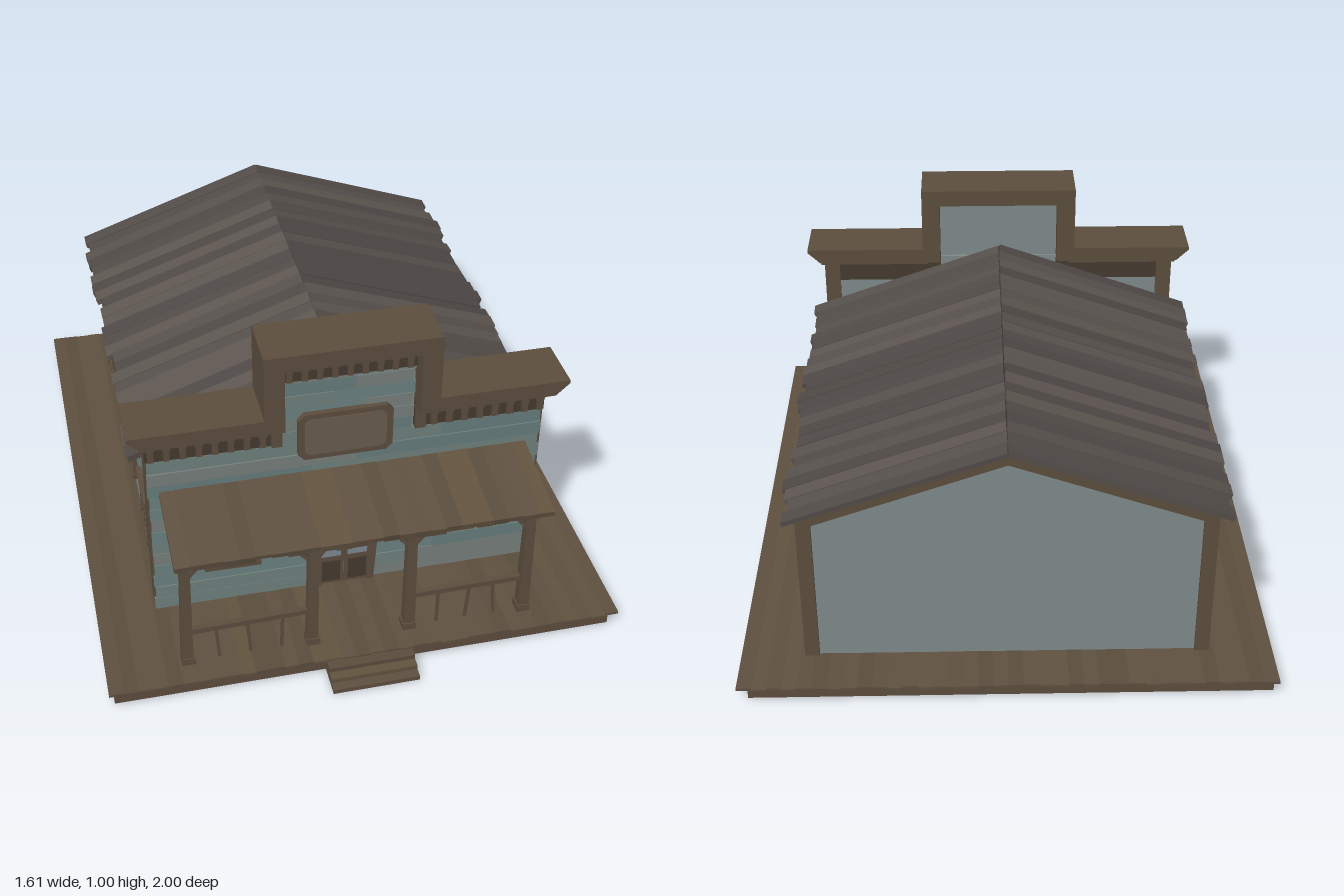
import * as THREE from 'three';

const mats = {};
const mat = (c) => (mats[c] ??= new THREE.MeshStandardMaterial({ color: c, flatShading: true, roughness: 0.9 }));
const TRIM = 0x5c4e3e, DARK = 0x453a2f, PLAIN = 0x7f8b8a, GLASS = 0x7f8a92;
const DECK = [0x5e5040, 0x62533f, 0x5a4d3d, 0x605140];
const WALL = [0x6c8282, 0x677d7d, 0x70837f, 0x77807c];
const ROOF = [0x57514d, 0x524c48, 0x5d5651, 0x4f4946];

let seed = 7;
const rnd = () => (seed = (seed * 16807) % 2147483647) / 2147483647;
const jit = (a) => (rnd() * 2 - 1) * a;
const pick = (list) => list[Math.floor(rnd() * list.length)];

function add(parent, geo, color, name) {
  const m = new THREE.Mesh(geo, mat(color));
  m.name = name;
  parent.add(m);
  return m;
}
// box given by its limits on each axis
function box(parent, name, color, x0, x1, y0, y1, z0, z1) {
  const m = add(parent, new THREE.BoxGeometry(x1 - x0, y1 - y0, z1 - z0), color, name);
  m.position.set((x0 + x1) / 2, (y0 + y1) / 2, (z0 + z1) / 2);
  return m;
}
function extrude(parent, name, color, pts, depth, z) {
  const shape = new THREE.Shape(pts.map((p) => new THREE.Vector2(p[0], p[1])));
  const m = add(parent, new THREE.ExtrudeGeometry(shape, { depth, bevelEnabled: false }), color, name);
  m.position.z = z;
  return m;
}
// square bar between two points
function bar(parent, name, color, a, b, w) {
  const p = new THREE.Vector3(...a), q = new THREE.Vector3(...b);
  const m = add(parent, new THREE.BoxGeometry(w, w, p.distanceTo(q)), color, name);
  m.position.copy(p).add(q).multiplyScalar(0.5);
  m.lookAt(q);
  return m;
}
function group(parent, name) {
  const g = new THREE.Group();
  g.name = name;
  parent.add(g);
  return g;
}
// uneven horizontal boards on a facade, facing local +z
function siding(parent, x0, x1, y0, y1, z, n) {
  const h = (y1 - y0) / n;
  for (let i = 0; i < n; i++) {
    const y = y0 + i * h, split = x0 + (x1 - x0) * (0.25 + 0.5 * rnd());
    for (const [a, b] of [[x0 + jit(0.005), split], [split, x1 + jit(0.005)]]) {
      box(parent, 'sidingBoard', pick(WALL), a, b, y, y + h - 0.001, z - 0.015, z + rnd() * 0.005);
    }
  }
}
// flat framed window with panes
function windowUnit(parent, x, y0, y1, w, z, panes) {
  const g = group(parent, 'window'), l = x - w / 2, r = x + w / 2, t = 0.016;
  box(g, 'glass', GLASS, l, r, y0, y1, z - 0.01, z + 0.006);
  for (let i = 0; i <= panes; i++) {
    const px = l + (w * i) / panes, hw = i % panes ? 0.004 : t / 2;
    box(g, 'upright', TRIM, px - hw, px + hw, y0, y1, z - 0.005, z + 0.01).rotation.z = jit(0.02);
  }
  box(g, 'sill', TRIM, l - 0.015, r + 0.015, y0 - t, y0 + 0.002, z - 0.005, z + 0.014).rotation.z = jit(0.02);
  box(g, 'head', TRIM, l - 0.016, r + 0.016, y1 - t / 2, y1 + t, z - 0.005, z + 0.012);
  box(g, 'lintelCap', TRIM, l - 0.026, r + 0.026, y1 + t, y1 + t + 0.007, z - 0.005, z + 0.016);
}
// row of tapering brackets under a cornice
function corbels(parent, x0, x1, yTop, n, h) {
  const w = 0.62 * (x1 - x0) / n;
  for (let i = 0; i < n; i++) {
    const c = x0 + ((i + 0.5) / n) * (x1 - x0), u = w / 2, v = w * 0.3;
    extrude(parent, 'corbel', TRIM, [[c - v, yTop - h], [c + v, yTop - h], [c + v, yTop - h * 0.55], [c + u, yTop - h * 0.4], [c + u, yTop], [c - u, yTop], [c - u, yTop - h * 0.4], [c - v, yTop - h * 0.55]], 0.022, 0.566);
  }
}

export function createModel() {
  const root = new THREE.Group();
  root.name = 'frontierBuilding';

  // deck: open rim with boards on top, and steps
  const deck = group(root, 'deck');
  box(deck, 'deckRimFront', TRIM, -0.79, 0.772, 0.008, 0.044, 0.885, 0.902);
  box(deck, 'deckRimBack', TRIM, -0.79, 0.772, 0.008, 0.044, -0.985, -0.968);
  box(deck, 'deckRimRight', TRIM, -0.79, -0.773, 0.008, 0.044, -0.985, 0.902);
  box(deck, 'deckRimLeft', TRIM, 0.755, 0.772, 0.008, 0.044, -0.985, 0.902);
  const nDeck = 36, dw = 1.61 / nDeck;
  for (let i = 0; i < nDeck; i++) {
    const x = -0.805 + i * dw;
    box(deck, 'deckBoard', pick(DECK), x, x + dw, 0.042, 0.05 + rnd() * 0.001, -0.999 + rnd() * 0.007, 0.905 + rnd() * 0.007);
  }
  for (let i = 0; i < 3; i++) {
    box(deck, 'step', DECK[i], -0.14, 0.13, i * 0.015, 0.015 * (i + 1), 0.88, 1 - i * 0.03);
  }

  // main body with gable
  const body = group(root, 'body');
  extrude(body, 'walls', PLAIN, [[-0.59, 0.045], [0.595, 0.045], [0.595, 0.55], [0, 0.765], [-0.59, 0.55]], 1.33, -0.84);
  for (const s of [-1, 1]) {
    const x = s * 0.59;
    box(body, 'cornerPost', TRIM, x - 0.022, x + 0.022, 0.045, 0.55, -0.85, -0.79);
    box(body, 'eaveBoard', TRIM, x - 0.015, x + 0.015, 0.525, 0.55, -0.84, 0.5);
  }

  // boarded side with three windows
  const side = group(body, 'boardedSide');
  side.rotation.y = -Math.PI / 2;
  siding(side, -0.79, 0.495, 0.05, 0.53, 0.595, 12);
  [[-0.6, 0.14, 2], [-0.16, 0.34, 4], [0.29, 0.14, 2]].forEach(([z, w, n]) => windowUnit(side, z, 0.15, 0.3, w, 0.6, n));

  // gable roof of uneven boards
  const roof = group(root, 'roof');
  for (const s of [-1, 1]) {
    const slope = group(roof, 'roofSlope');
    slope.position.y = 0.79;
    slope.rotation.z = -s * 0.34;
    const lim = (a, b) => (s > 0 ? [a, b] : [-b, -a]);
    box(slope, 'roofUnderside', TRIM, ...lim(0, 0.655), -0.02, -0.004, -0.865, 0.46);
    box(slope, 'rakeBoard', TRIM, ...lim(0, 0.65), -0.04, -0.004, -0.872, -0.855);
    const n = 24, w = 1.325 / n;
    for (let i = 0; i < n; i++) {
      const z = -0.88 + i * w;
      const p = box(slope, 'roofBoard', pick(ROOF), ...lim(0, 0.685 + jit(0.014)), -0.01, 0.004 + rnd() * 0.006, z, z + w * (0.98 + rnd() * 0.05));
      p.rotation.set(jit(0.05), jit(0.006), 0);
    }
  }

  // false front wall
  const front = group(root, 'falseFront');
  box(front, 'frontWall', PLAIN, -0.6, 0.6, 0.045, 0.73, 0.5, 0.56);
  box(front, 'towerPanel', PLAIN, -0.22, 0.22, 0.7, 0.96, 0.51, 0.56);
  siding(front, -0.615, 0.612, 0.05, 0.64, 0.572, 13);
  siding(front, -0.205, 0.2, 0.64, 0.95, 0.572, 7);
  for (const s of [-1, 1]) {
    const at = (a, b) => (s > 0 ? [a, b] : [-b, -a]);
    box(front, 'edgeBoard', TRIM, ...at(0.565, 0.618), 0.045, 0.73, 0.492, 0.567);
    box(front, 'frieze', DARK, ...at(0.205, 0.618), 0.642, 0.73, 0.495, 0.574);
    box(front, 'friezeUpright', TRIM, ...at(0.205, 0.238), 0.642, 0.73, 0.56, 0.585);
    extrude(front, 'cornice', TRIM, [[0.25, 0.73], [0.63, 0.73], [0.645, 0.745], [0.672, 0.77], [0.672, 0.78], [0.25, 0.78]].map((p) => [s * p[0], p[1]]), 0.18, 0.45);
    box(front, 'corniceMoulding', TRIM, ...at(0.25, 0.628), 0.712, 0.731, 0.475, 0.602);
    box(front, 'towerSide', TRIM, ...at(0.205, 0.267), 0.73, 0.95, 0.45, 0.63);
    corbels(front, ...at(0.24, 0.625), 0.728, 8, 0.078);
  }
  box(front, 'towerTop', TRIM, -0.267, 0.267, 0.945, 1, 0.45, 0.63);
  box(front, 'towerFrieze', DARK, -0.206, 0.206, 0.872, 0.946, 0.55, 0.578);
  corbels(front, -0.205, 0.205, 0.945, 9, 0.07);

  // blank sign board with cut corners
  const sign = group(front, 'signBoard');
  sign.position.set(-0.012, 0.667, 0);
  const plate = (w, h, c) => [[-w + c, -h], [w - c, -h], [w, -h + c], [w, h - c], [w - c, h], [-w + c, h], [-w, h - c], [-w, -h + c]];
  extrude(sign, 'signFrame', TRIM, plate(0.146, 0.084, 0.02), 0.02, 0.57);
  extrude(sign, 'signFace', 0x6b5d4e, plate(0.126, 0.066, 0.014), 0.004, 0.588);

  // front windows and double door
  windowUnit(front, -0.367, 0.2, 0.346, 0.15, 0.573, 2);
  windowUnit(front, 0.335, 0.215, 0.355, 0.14, 0.573, 2);
  const door = group(front, 'doubleDoor');
  for (const s of [-1, 1]) {
    const c = -0.008 + s * 0.043, j = -0.008 + s * 0.093;
    box(door, 'doorLeaf', TRIM, c - 0.042, c + 0.042, 0.05, 0.305, 0.56, 0.58);
    box(door, 'doorGlass', GLASS, c - 0.032, c + 0.032, 0.165, 0.295, 0.57, 0.582);
    box(door, 'doorPanel', DARK, c - 0.03, c + 0.03, 0.062, 0.145, 0.57, 0.583);
    box(door, 'doorJamb', TRIM, j - 0.011, j + 0.011, 0.05, 0.31, 0.56, 0.587).rotation.z = -s * 0.06;
  }
  box(door, 'doorHead', TRIM, -0.122, 0.106, 0.302, 0.32, 0.56, 0.588);
  box(door, 'doorCap', TRIM, -0.133, 0.117, 0.318, 0.326, 0.56, 0.592);

  // porch roof
  const porch = group(root, 'porch');
  const cover = group(porch, 'porchRoof');
  cover.position.set(0, 0.523, 0.57);
  cover.rotation.x = 0.165;
  box(cover, 'porchRoofBase', TRIM, -0.57, 0.555, -0.024, -0.006, 0, 0.285);
  const nP = 24, pw = 1.15 / nP;
  for (let i = 0; i < nP; i++) {
    const x = -0.582 + i * pw;
    box(cover, 'porchRoofBoard', pick(DECK), x, x + pw, -0.01 - rnd() * 0.014, 0.002 + rnd() * 0.002, 0, 0.297 + jit(0.002)).rotation.z = jit(0.02);
  }
  box(porch, 'porchBeam', TRIM, -0.575, 0.535, 0.445, 0.472, 0.8, 0.83);

  // posts, braces and rafters
  const posts = [-0.552, -0.165, 0.14, 0.512];
  posts.forEach((x, i) => {
    const p = add(porch, new THREE.CylinderGeometry(0.021, 0.025, 0.4, 4, 1), TRIM, 'porchPost');
    p.geometry.rotateY(Math.PI / 4);
    p.position.set(x, 0.25, 0.815);
    p.rotation.z = jit(0.02);
    box(porch, 'postBase', TRIM, x - 0.021, x + 0.021, 0.05, 0.075, 0.793, 0.837);
    box(porch, 'postCap', TRIM, x - 0.022, x + 0.022, 0.435, 0.448, 0.793, 0.838);
    bar(porch, 'rafter', TRIM, [x, 0.492, 0.575], [x, 0.458, 0.835], 0.016);
    for (const s of [-1, 1]) {
      if ((i === 0 && s < 0) || (i === 3 && s > 0)) continue;
      bar(porch, 'brace', TRIM, [x, 0.38, 0.815], [x + s * 0.06, 0.45, 0.815], 0.013);
    }
  });

  // railings on both sides of the steps
  for (const [a, b] of [[posts[0], posts[1]], [posts[2], posts[3]]]) {
    const y = 0.178 + jit(0.005);
    bar(porch, 'handrail', TRIM, [a, y, 0.815], [b, y + jit(0.012), 0.815], 0.018);
    for (const t of [0.25, 0.5, 0.75]) {
      const x = a + (b - a) * t;
      bar(porch, 'baluster', TRIM, [x, 0.05, 0.815], [x + jit(0.01), y, 0.815], 0.009);
    }
  }
  return root;
}
